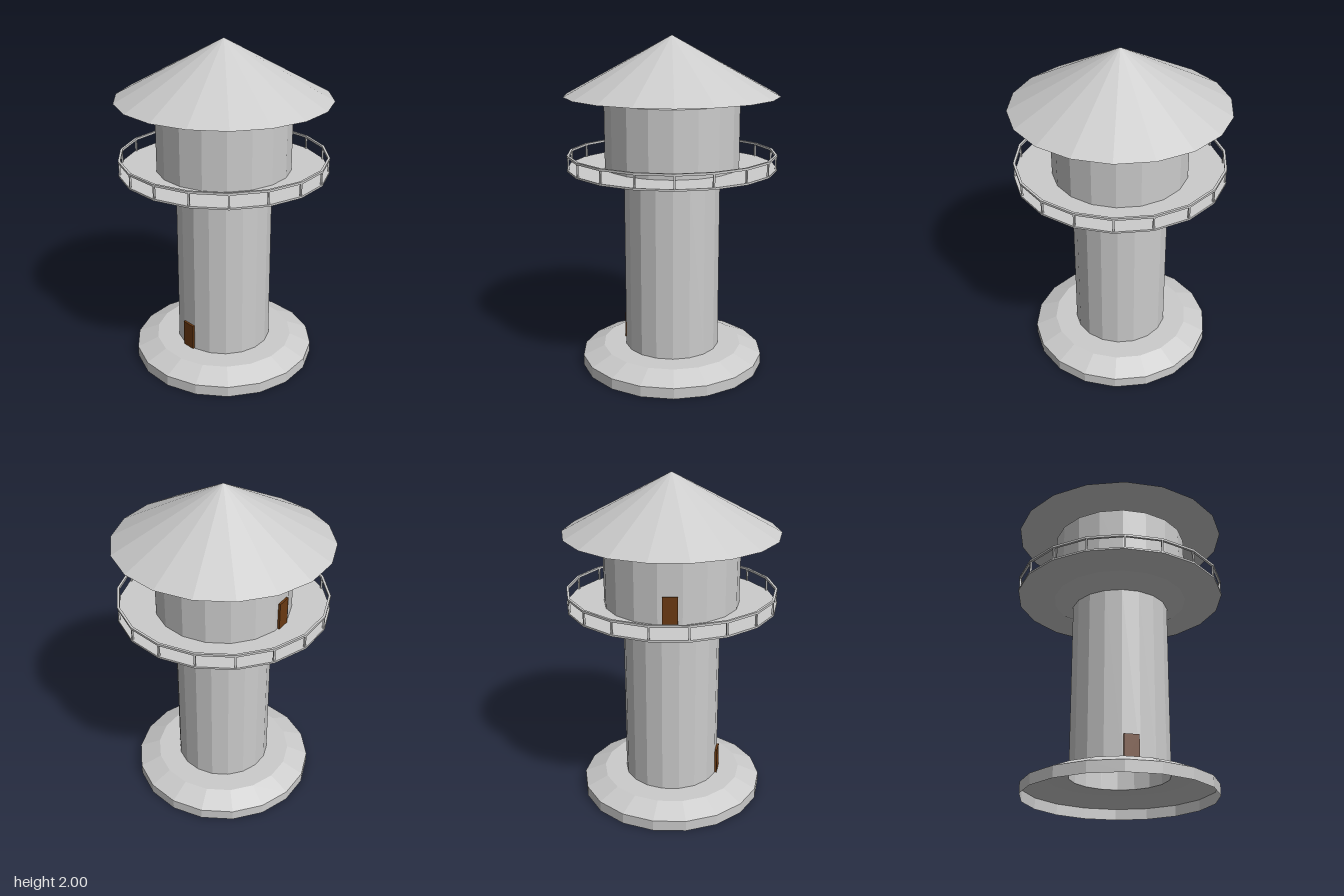
import * as THREE from 'three';

const SIDES = 18;
const STEP = (Math.PI * 2) / SIDES;
const RAIL_R = 0.614;

const grey = new THREE.MeshStandardMaterial({ color: 0xcccccc, flatShading: true, side: THREE.DoubleSide });
const brown = new THREE.MeshStandardMaterial({ color: 0x6b3a12 });

// Eighteen-sided turned shell with a corner on the x axis
function turned(name, profile) {
  const points = profile.map(([r, y]) => new THREE.Vector2(r, y));
  const mesh = new THREE.Mesh(new THREE.LatheGeometry(points, SIDES, Math.PI / 2), grey);
  mesh.name = name;
  return mesh;
}

// Box standing at height y, at a radius and angle around the tower (0 = +z), facing outwards
function around(name, size, radius, angle, y, material) {
  const mesh = new THREE.Mesh(new THREE.BoxGeometry(...size), material);
  mesh.name = name;
  mesh.position.set(Math.sin(angle) * radius, y + size[1] / 2, Math.cos(angle) * radius);
  mesh.rotation.y = angle;
  return mesh;
}

export function createModel() {
  const tower = new THREE.Group();
  tower.name = 'tower';

  // Hollow walls, open at the bottom
  tower.add(
    turned('base', [[0.555, 0], [0.555, 0.065], [0.425, 0.12], [0.288, 0.12]]),
    turned('shaft', [[0.288, 0.12], [0.288, 1.15]]),
    turned('balcony', [[0.288, 1.15], [0.4, 1.213], [0.622, 1.225], [0.622, 1.236], [0.4, 1.236]]),
    turned('upperRoom', [[0.4, 1.236], [0.4, 1.622], [0.305, 1.657]]),
    turned('roof', [[0.305, 1.657], [0.632, 1.657], [0, 2]])
  );

  // Balcony railing: a square-section ring on a post at every corner
  const railing = new THREE.Group();
  railing.name = 'railing';
  const [inner, outer, low, high] = [RAIL_R - 0.007, RAIL_R + 0.007, 1.306, 1.319];
  railing.add(turned('handrail', [[outer, low], [outer, high], [inner, high], [inner, low], [outer, low]]));
  for (let i = 0; i < SIDES; i++) {
    railing.add(around('railingPost', [0.01, 0.075, 0.01], RAIL_R - 0.001, Math.PI / 2 + i * STEP, 1.234, grey));
  }
  tower.add(railing);

  // Doors, each centred on a flat side of the wall
  const flat = Math.cos(STEP / 2);
  tower.add(
    around('lowerDoor', [0.085, 0.16, 0.026], 0.288 * flat, Math.PI + 4 * STEP, 0.12, brown),
    around('upperDoor', [0.085, 0.164, 0.026], 0.4 * flat, Math.PI, 1.236, brown)
  );
  return tower;
}
